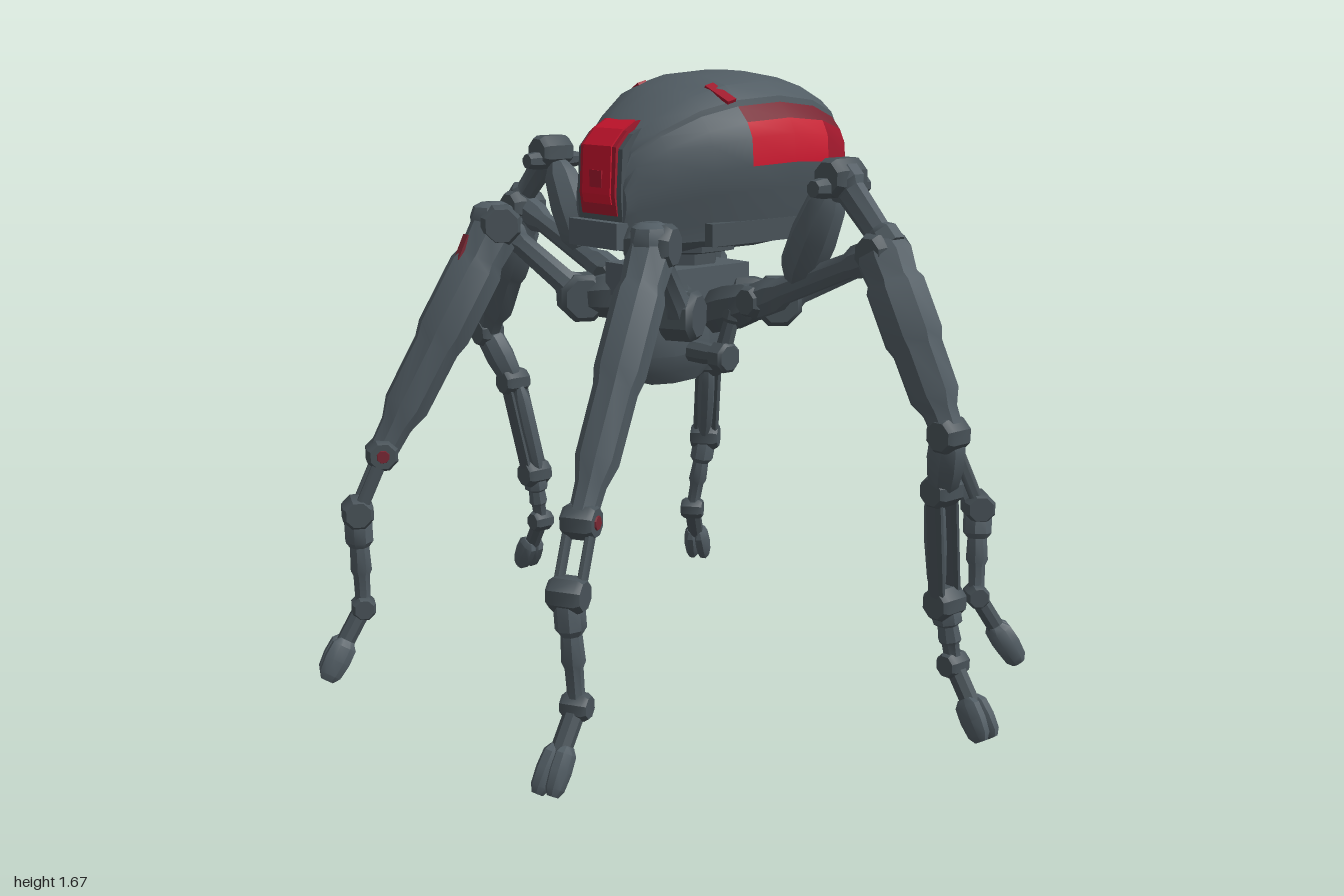
import * as THREE from 'three';
import { toCreasedNormals } from 'three/addons/utils/BufferGeometryUtils.js';

const colour = (name, hex) => Object.assign(new THREE.MeshStandardMaterial({ color: hex }), { name });
const V = (p) => new THREE.Vector3(...p);
const lerp = (a, b, t) => a.map((v, i) => v + (b[i] - v) * t);

// Limb profiles: [radius, position along the limb]
const THIGH = [[0, 0], [0.75, 0], [1, 0.08], [0.9, 0.2], [1.05, 0.24], [1.05, 0.5], [0.9, 0.56], [0.88, 0.8], [0.62, 0.88], [0.55, 1], [0, 1]];
const CALF = [[0, 0], [0.9, 0], [1.1, 0.08], [1.1, 0.3], [0.75, 0.36], [0.85, 0.6], [0.65, 0.66], [0.6, 1], [0, 1]];
const BEAM = [[0, 0], [1.2, 0], [1.2, 0.15], [0.9, 0.22], [0.8, 0.75], [1.1, 0.82], [1.1, 1], [0, 1]];
const ROD = [[0, 0], [1, 0], [1, 1], [0, 1]];
const EGG = [[0, 0], [0.55, 0], [0.95, 0.15], [1, 0.5], [0.85, 0.85], [0.5, 1], [0, 1]];

// Dome stations from front to back: [z, half width, bottom, top]
const STATIONS = [
  [0.19, 0.105, 1.24, 1.42], [0.165, 0.125, 1.21, 1.51], [0.1, 0.175, 1.2, 1.575], [0, 0.235, 1.2, 1.635],
  [-0.1, 0.278, 1.2, 1.665], [-0.25, 0.285, 1.2, 1.675], [-0.38, 0.282, 1.21, 1.655],
  [-0.49, 0.24, 1.225, 1.61], [-0.56, 0.175, 1.29, 1.56], [-0.595, 0.128, 1.37, 1.51],
];
// Half section from belly to spine, as fractions of width and height
const SECTION = [[0, 0], [0.45, 0], [0.8, 0.08], [0.84, 0.18], [0.96, 0.36], [1, 0.5], [0.98, 0.66],
  [0.91, 0.745], [0.78, 0.83], [0.77, 0.865], [0.6, 0.945], [0.28, 0.995], [0, 1]];
// Side panel colours per section strip (rows) and station (columns): 1 red, 2 crimson, 3 dull red
const PANEL = { 5: [1, 1, 2, 3, 3], 6: [1, 1, 2, 3, 3], 7: [3, 3, 3, 3, 3] };

const LEGS = [
  { name: 'front', out: [0.45, 0.89], hip: [0.1, 1.06, 0], elbow: [0.21, 1.05, 0.09], knee: [0.325, 1.26, 0.29], bulk: [0.056, 0.068],
    shank: [0.44, 0.64, 0.615], fork: [0.47, 0.48, 0.68], ankle: [0.48, 0.2, 0.665], foot: [0.5, 0.012, 0.78] },
  { name: 'middle', out: [1, 0], hip: [0.1, 1.02, -0.1], elbow: [0.3, 1.08, -0.1], knee: [0.735, 1.25, -0.1], bulk: [0.066, 0.068],
    shank: [0.95, 0.83, -0.11], link: [0.89, 0.67, -0.165], fork: [0.862, 0.36, -0.225], ankle: [0.872, 0.19, -0.255], foot: [0.98, 0.014, -0.265] },
  { name: 'rear', out: [0.6, -0.8], hip: [0.1, 1.06, -0.18], elbow: [0.2, 1.05, -0.27], knee: [0.36, 1.17, -0.515], bulk: [0.058, 0.07],
    shank: [0.48, 0.73, -0.645], fork: [0.57, 0.46, -0.715], ankle: [0.6, 0.21, -0.685], foot: [0.675, 0.012, -0.785] },
];

export function createModel() {
  const model = new THREE.Group();
  const armour = colour('armour grey', 0x515c63);
  const frame = colour('frame grey', 0x485258);
  const red = colour('signal red', 0xc8142d);
  const crimson = colour('crimson', 0xa0182c);
  const dullRed = colour('dull red', 0x782733);

  const add = (parent, name, geometry, material, pos = [0, 0, 0], rot = [0, 0, 0]) => {
    const mesh = new THREE.Mesh(geometry, material);
    mesh.name = name;
    mesh.position.set(...pos);
    mesh.rotation.set(...rot);
    parent.add(mesh);
    return mesh;
  };
  const box = (parent, name, size, material, pos, rot) =>
    add(parent, name, new THREE.BoxGeometry(...size), material, pos, rot);

  // Eight-sided limb from a to b; w is its size along the hinge, d across it
  const limb = (parent, name, a, b, profile, w, d, hinge, material = armour) => {
    const dir = V(b).sub(V(a)), length = dir.length();
    dir.normalize();
    const geo = new THREE.LatheGeometry(profile.map(([r, t]) => new THREE.Vector2(r, t * length)), 8, Math.PI / 8);
    geo.scale(w / 0.924, 1, d / 0.924);
    const side = hinge.clone().addScaledVector(dir, -hinge.dot(dir)).normalize();
    const basis = new THREE.Matrix4().makeBasis(side, dir, side.clone().cross(dir));
    const mesh = add(parent, name, toCreasedNormals(geo, 0.6), material, a);
    mesh.quaternion.setFromRotationMatrix(basis);
    return mesh;
  };
  // Drum centred on p, lying along the hinge
  const drum = (parent, name, p, r, half, hinge, material = frame) => {
    const end = (s) => V(p).addScaledVector(hinge, s * half).toArray();
    const across = new THREE.Vector3(0, 1, 0);
    return limb(parent, name, end(-1), end(1), [[0, 0], [0.8, 0], [1, 0.15], [1, 0.85], [0.8, 1], [0, 1]], r, r, across, material);
  };
  // Side outline of [z, y] points, extruded across x
  const slab = (parent, name, outline, width, material) => {
    const shape = new THREE.Shape(outline.map(([z, y]) => new THREE.Vector2(z, y)));
    const geo = new THREE.ExtrudeGeometry(shape, { depth: width, bevelEnabled: false });
    geo.rotateY(-Math.PI / 2).translate(width / 2, 0, 0);
    return add(parent, name, geo, material);
  };

  // Domed shell with coloured side bands
  const half = SECTION.length;
  const ring = [...SECTION, ...SECTION.slice(1, -1).reverse().map(([x, y]) => [-x, y])];
  const n = ring.length, positions = [];
  for (const [z, w, lo, hi] of STATIONS) for (const [x, y] of ring) positions.push(x * w, lo + y * (hi - lo), z);
  const faces = [[], [], [], []];
  for (let i = 0; i < STATIONS.length - 1; i++) {
    for (let j = 0; j < n; j++) {
      const k = (j + 1) % n, a = i * n + j, b = i * n + k;
      const level = j < half - 1 ? j : n - 1 - j;
      faces[PANEL[level]?.[i - 4] ?? 0].push(a, a + n, b, b, a + n, b + n);
    }
  }
  const last = (STATIONS.length - 1) * n;
  for (let j = 1; j < n - 1; j++) faces[0].push(0, j, j + 1, last, last + j + 1, last + j);
  [['shell', armour], ['sidePanelFront', red], ['sidePanelRear', crimson], ['sidePanelRim', dullRed]].forEach(([name, mat], i) => {
    const geo = new THREE.BufferGeometry();
    geo.setAttribute('position', new THREE.Float32BufferAttribute(positions, 3));
    geo.setIndex(faces[i]);
    add(model, name, toCreasedNormals(geo, 0.45), mat);
  });

  // Face window: upright pane whose top slopes back into the shell
  slab(model, 'windowFrame', [[0.08, 1.28], [0.19, 1.28], [0.197, 1.36], [0.19, 1.48], [0.155, 1.518], [0.1, 1.545], [0.08, 1.5]], 0.18, frame);
  slab(model, 'windowRim', [[0.08, 1.305], [0.195, 1.305], [0.204, 1.36], [0.198, 1.485], [0.16, 1.526], [0.115, 1.552], [0.08, 1.5]], 0.145, crimson);
  slab(model, 'windowPane', [[0.08, 1.33], [0.203, 1.335], [0.208, 1.36], [0.202, 1.487], [0.162, 1.53], [0.12, 1.553], [0.08, 1.5]], 0.115, red);
  box(model, 'windowRecess', [0.05, 0.045, 0.008], crimson, [0, 1.4, 0.205]);
  box(model, 'chin', [0.2, 0.07, 0.07], armour, [0, 1.255, 0.185]);
  for (const s of [-1, 1]) {
    box(model, 'browMark', [0.09, 0.009, 0.03], crimson, [s * 0.175, 1.619, -0.075], [0.24, 0, -s * 0.48]);
    box(model, 'skirtRail', [0.03, 0.06, 0.42], frame, [s * 0.225, 1.255, -0.2]);
  }

  // Underbody
  const X = new THREE.Vector3(1, 0, 0);
  const core = new THREE.Group();
  core.name = 'underbody';
  model.add(core);
  limb(core, 'neck', [0, 1.02, -0.1], [0, 1.24, -0.1], [[0, 0], [0.9, 0], [0.9, 0.4], [0.7, 0.45], [0.7, 0.75], [1.1, 0.8], [1.1, 1], [0, 1]], 0.13, 0.13, X, frame);
  box(core, 'hipBeam', [0.26, 0.09, 0.3], armour, [0, 1.11, -0.08]);
  box(core, 'hipBeamMark', [0.05, 0.02, 0.008], dullRed, [0, 1.11, 0.073]);
  limb(core, 'pod', [0, 0.83, -0.06], [0, 1.07, -0.05], [[0, 0], [0.6, 0], [0.8, 0.15], [1, 0.35], [1, 0.85], [0.85, 1], [0, 1]], 0.09, 0.155, X);
  box(core, 'podMark', [0.05, 0.035, 0.008], dullRed, [0, 1, 0.104]);
  drum(core, 'podAxle', [0, 0.92, -0.06], 0.028, 0.2, X);
  for (const s of [-1, 1]) {
    limb(core, 'podStrut', [s * 0.2, 0.91, -0.06], [s * 0.23, 1.05, -0.08], BEAM, 0.025, 0.025, X, frame);
    drum(core, 'podAxleCap', [s * 0.21, 0.92, -0.06], 0.04, 0.028, X);
  }

  // Six legs, mirrored by side
  for (const spec of LEGS) for (const s of [1, -1]) {
    const leg = new THREE.Group();
    leg.name = `${spec.name}Leg${s > 0 ? 'Left' : 'Right'}`;
    model.add(leg);
    const at = (p) => [p[0] * s, p[1], p[2]];
    const hinge = new THREE.Vector3(spec.out[1], 0, -spec.out[0] * s).normalize();
    const outward = new THREE.Vector3(spec.out[0] * s, 0, spec.out[1]);
    const [hip, elbow, knee, shank, fork, ankle, foot] =
      ['hip', 'elbow', 'knee', 'shank', 'fork', 'ankle', 'foot'].map((k) => at(spec[k]));
    const mid = spec.name === 'middle';

    limb(leg, 'hip', hip, elbow, EGG, 0.05, 0.06, hinge, frame);
    drum(leg, 'hipJoint', elbow, mid ? 0.04 : 0.065, 0.05, hinge);
    limb(leg, 'upperArm', elbow, knee, BEAM, 0.034, 0.038, hinge);
    drum(leg, 'kneeJoint', knee, mid ? 0.048 : 0.055, 0.06, hinge);
    limb(leg, 'thigh', lerp(knee, shank, -0.06), shank, THIGH, ...spec.bulk, hinge);
    drum(leg, 'shankJoint', shank, 0.042, 0.042, hinge);

    // Arched muscle over the middle legs
    if (mid) {
      const peak = at([0.59, 1.425, -0.1]);
      limb(leg, 'muscle', at([0.44, 1.15, -0.1]), at([0.56, 1.39, -0.1]), EGG, 0.055, 0.06, hinge);
      limb(leg, 'archRod', peak, at([0.755, 1.26, -0.1]), BEAM, 0.034, 0.042, hinge);
      drum(leg, 'archJoint', peak, 0.048, 0.055, hinge);
      drum(leg, 'archAxle', at([0.585, 1.4, -0.1]), 0.025, 0.095, hinge);
    } else {
      const cap = V(knee).addScaledVector(outward, 0.015).toArray();
      limb(leg, 'kneeCap', [cap[0], cap[1] - 0.02, cap[2]], [cap[0], cap[1] + 0.06, cap[2]], EGG, 0.05, 0.06, hinge);
    }

    // Forked lower leg
    const start = spec.link ? at(spec.link) : shank;
    if (spec.link) {
      limb(leg, 'link', shank, start, EGG, 0.042, 0.046, hinge);
      drum(leg, 'linkJoint', start, 0.04, 0.045, hinge);
    }
    for (const k of [-1, 1]) {
      const shift = (p) => V(p).addScaledVector(hinge, k * 0.03).toArray();
      limb(leg, 'forkRod', shift(start), shift(fork), ROD, 0.011, mid ? 0.024 : 0.018, hinge, frame);
    }
    if (spec.name !== 'front') {
      const off = (p) => V(p).addScaledVector(outward, -0.025).toArray();
      limb(leg, 'forkDamper', off(lerp(start, fork, 0.05)), off(lerp(start, fork, 0.95)), EGG, 0.026, 0.028, hinge);
    }
    drum(leg, 'calfJoint', fork, 0.042, 0.045, hinge);
    limb(leg, 'calf', fork, ankle, CALF, 0.032, 0.034, hinge);
    drum(leg, 'ankleJoint', ankle, 0.032, 0.035, hinge);

    // Foot with two toes
    limb(leg, 'ankle', ankle, lerp(ankle, foot, 0.55), ROD, 0.024, 0.024, hinge, frame);
    for (const k of [-1, 1]) {
      const shift = (p, d) => V(p).addScaledVector(hinge, k * d).toArray();
      limb(leg, 'toe', shift(lerp(ankle, foot, 0.45), 0.014), shift(foot, 0.02), EGG, 0.024, 0.036, hinge);
    }

    // Red marks on the front legs
    if (spec.name === 'front') {
      drum(leg, 'shankMark', shank, 0.02, 0.046, hinge, dullRed);
      if (s < 0) box(leg, 'thighMark', [0.022, 0.075, 0.009], dullRed, [-0.35, 1.2, 0.395], [-0.47, 0, 0]);
    }
  }
  return model;
}
